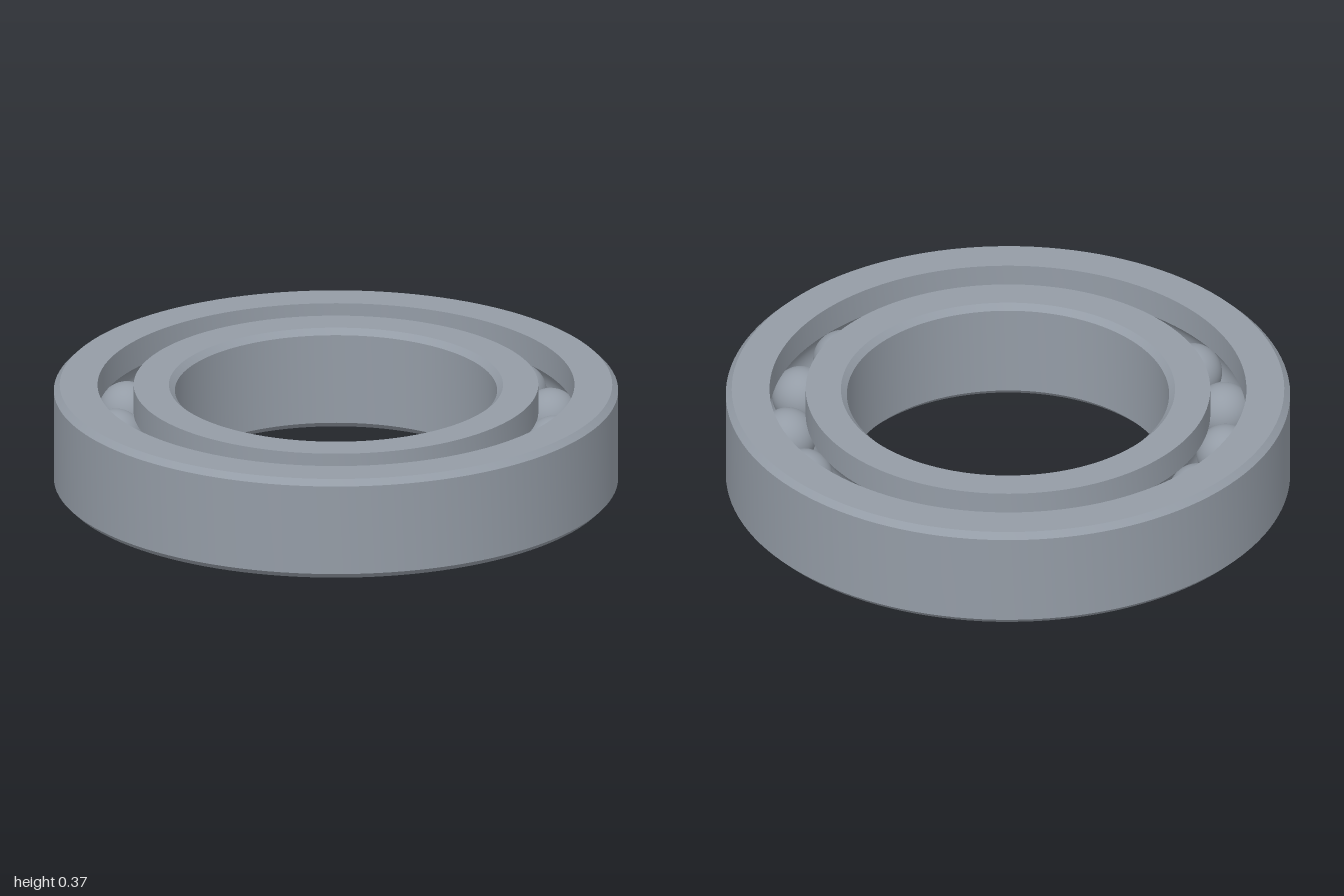
import * as THREE from 'three';
import { toCreasedNormals } from 'three/addons/utils/BufferGeometryUtils.js';

const HEIGHT = 0.372, CHAMFER = 0.021;
const PITCH = 0.781, BALL_RADIUS = 0.104, BALL_COUNT = 17;
const BORE = 0.571, INNER_LAND = 0.717, OUTER_LAND = 0.845, RIM = 1;

export function createModel() {
  const steel = new THREE.MeshStandardMaterial({ color: 0x949ca6 });
  steel.name = 'steel';
  const model = new THREE.Group();
  model.name = 'ballBearing';

  // Raceway groove: arc around the ball centre, in (radius, height)
  const groove = (from, to) => Array.from({ length: 13 }, (_, i) => {
    const a = from + (to - from) * i / 12;
    return [PITCH + BALL_RADIUS * Math.cos(a), HEIGHT / 2 + BALL_RADIUS * Math.sin(a)];
  });

  // Closed profile turned about the axis, with sharp edges kept
  const addRing = (name, profile) => {
    const points = [...profile, profile[0]].map(([r, y]) => new THREE.Vector2(r, y));
    const geometry = toCreasedNormals(new THREE.LatheGeometry(points, 128), 0.5);
    const ring = new THREE.Mesh(geometry, steel);
    ring.name = name;
    model.add(ring);
  };

  // Outer ring, chamfered at the rim
  const outerArc = Math.acos((OUTER_LAND - PITCH) / BALL_RADIUS);
  addRing('outerRing', [
    [RIM - CHAMFER, 0], [RIM, CHAMFER], [RIM, HEIGHT - CHAMFER], [RIM - CHAMFER, HEIGHT],
    [OUTER_LAND, HEIGHT], ...groove(outerArc, -outerArc), [OUTER_LAND, 0],
  ]);

  // Inner ring, chamfered at the bore
  const innerArc = Math.acos((PITCH - INNER_LAND) / BALL_RADIUS);
  addRing('innerRing', [
    [BORE + CHAMFER, 0], [INNER_LAND, 0],
    ...groove(Math.PI + innerArc, Math.PI - innerArc), [INNER_LAND, HEIGHT],
    [BORE + CHAMFER, HEIGHT], [BORE, HEIGHT - CHAMFER], [BORE, CHAMFER],
  ]);

  // Balls evenly spaced around the pitch circle
  const balls = new THREE.Group();
  balls.name = 'balls';
  const ballGeometry = new THREE.SphereGeometry(BALL_RADIUS - 0.001, 40, 28);
  const phase = THREE.MathUtils.degToRad(9.07);
  for (let i = 0; i < BALL_COUNT; i++) {
    const a = phase + i * 2 * Math.PI / BALL_COUNT;
    const ball = new THREE.Mesh(ballGeometry, steel);
    ball.name = 'ball' + (i + 1);
    ball.position.set(PITCH * Math.cos(a), HEIGHT / 2, -PITCH * Math.sin(a));
    balls.add(ball);
  }
  model.add(balls);
  return model;
}
